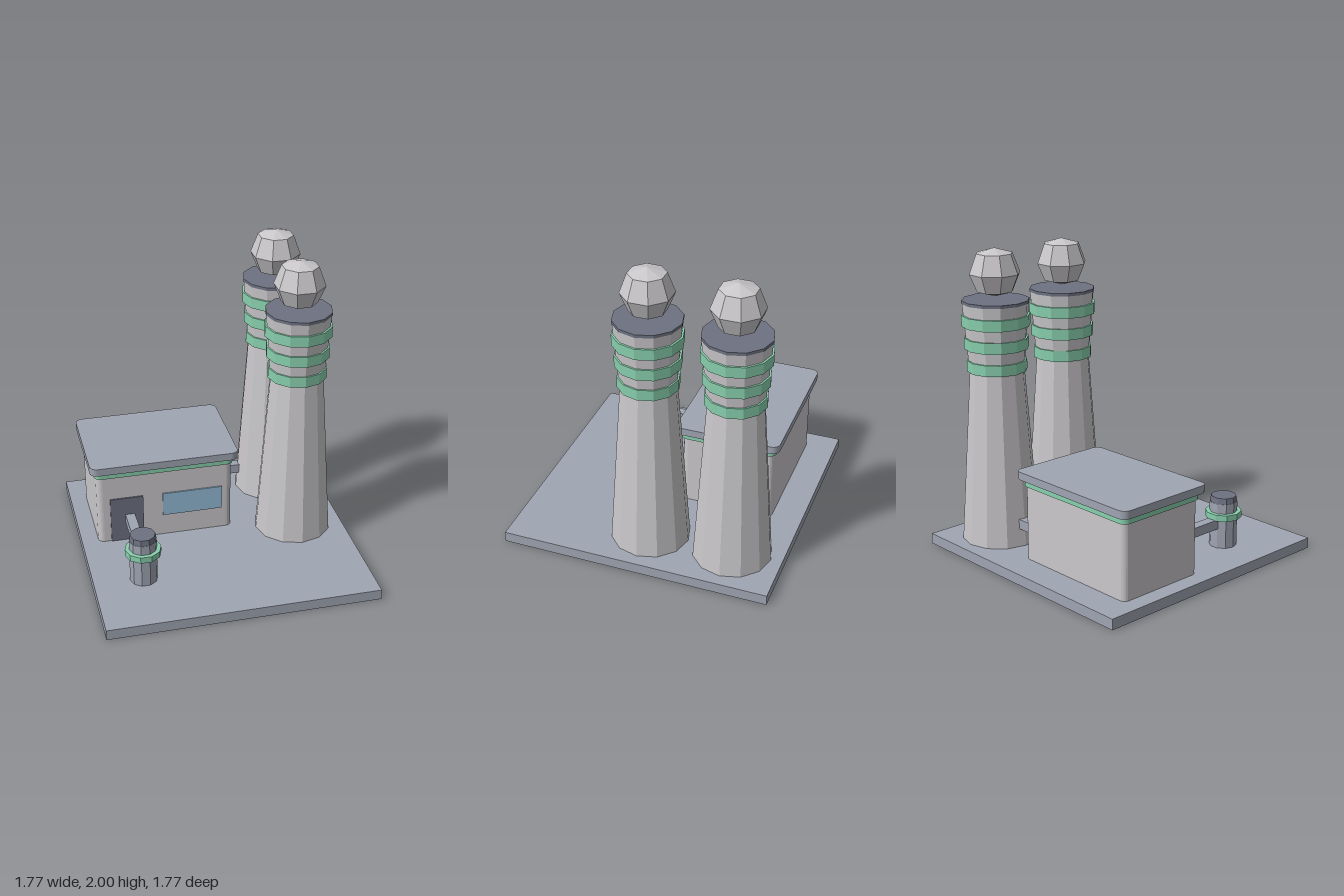
import * as THREE from 'three';

const flat = (name, color) => {
  const m = new THREE.MeshStandardMaterial({ color });
  m.name = name;
  m.flatShading = true;
  return m;
};

export function createModel() {
  const slate = flat('slate grey', 0xa0a5b3);
  const concrete = flat('light concrete', 0xcac8cb);
  const dark = flat('dark slate', 0x6e7282);
  const green = flat('mint green', 0x88cfad);
  const glass = flat('window blue', 0x92bbd6);

  const model = new THREE.Group();
  model.name = 'powerStation';

  const add = (parent, name, geometry, material) => {
    const mesh = new THREE.Mesh(geometry, material);
    mesh.name = name;
    parent.add(mesh);
    return mesh;
  };
  // Box given by its two corners
  const box = (parent, name, material, [x0, y0, z0], [x1, y1, z1]) => {
    const g = new THREE.BoxGeometry(x1 - x0, y1 - y0, z1 - z0);
    g.translate((x0 + x1) / 2, (y0 + y1) / 2, (z0 + z1) / 2);
    return add(parent, name, g, material);
  };
  // Upright faceted drum from y0 to y1
  const drum = (parent, name, material, r0, r1, y0, y1, sides) => {
    const g = new THREE.CylinderGeometry(r1, r0, y1 - y0, sides);
    g.translate(0, (y0 + y1) / 2, 0);
    return add(parent, name, g, material);
  };
  // Slab with rounded vertical corners
  const slab = (parent, name, material, x0, x1, z0, z1, y0, y1, r) => {
    const s = new THREE.Shape();
    const a = -z1, b = -z0;
    s.moveTo(x0 + r, a);
    s.lineTo(x1 - r, a);
    s.absarc(x1 - r, a + r, r, -Math.PI / 2, 0);
    s.lineTo(x1, b - r);
    s.absarc(x1 - r, b - r, r, 0, Math.PI / 2);
    s.lineTo(x0 + r, b);
    s.absarc(x0 + r, b - r, r, Math.PI / 2, Math.PI);
    s.lineTo(x0, a + r);
    s.absarc(x0 + r, a + r, r, Math.PI, Math.PI * 1.5);
    const g = new THREE.ExtrudeGeometry(s, { depth: y1 - y0, bevelEnabled: false, curveSegments: 3 });
    g.rotateX(-Math.PI / 2);
    g.translate(0, y0, 0);
    return add(parent, name, g, material);
  };

  // Ground slab
  box(model, 'base', slate, [-0.887, 0, -0.887], [0.887, 0.07, 0.887]);

  // Two chimneys with bands, cap and a faceted puff of smoke
  const profile = (pts) => pts.map(([x, y]) => new THREE.Vector2(x, y));
  for (const z of [0, -0.555]) {
    const tower = new THREE.Group();
    tower.name = z === 0 ? 'frontChimney' : 'backChimney';
    tower.position.set(0.553, 0, z);
    model.add(tower);

    const shaft = profile([[0.257, 0.07], [0.178, 1.2], [0.214, 1.652]]);
    add(tower, 'shaft', new THREE.LatheGeometry(shaft, 12), concrete);
    drum(tower, 'chimneyCap', dark, 0.217, 0.217, 1.652, 1.672, 12);
    for (const [r, y] of [[0.195, 1.21], [0.208, 1.358], [0.221, 1.505]]) {
      drum(tower, 'band', green, r, r, y, y + 0.072, 12);
    }
    const puff = profile([[0, 1.69], [0.118, 1.724], [0.166, 1.838], [0.118, 1.966], [0, 2]]);
    add(tower, 'smokePuff', new THREE.LatheGeometry(puff, 8, Math.PI / 8), concrete);
  }

  // Building with band, overhanging roof, door and window
  const house = new THREE.Group();
  house.name = 'building';
  model.add(house);
  slab(house, 'walls', concrete, -0.775, 0.14, -0.686, -0.066, 0.07, 0.565, 0.04);
  slab(house, 'wallBand', green, -0.786, 0.151, -0.697, -0.055, 0.562, 0.608, 0.045);
  slab(house, 'roof', slate, -0.815, 0.18, -0.726, -0.026, 0.608, 0.66, 0.05);
  box(house, 'door', dark, [-0.69, 0.07, -0.066], [-0.468, 0.395, -0.057]);
  box(house, 'window', glass, [-0.335, 0.225, -0.066], [0.07, 0.393, -0.057]);

  // Small tank
  const tank = new THREE.Group();
  tank.name = 'tank';
  tank.position.set(-0.56, 0, 0.405);
  tank.rotation.y = Math.PI / 2;
  model.add(tank);
  drum(tank, 'tankBody', slate, 0.09, 0.09, 0.07, 0.372, 10);
  drum(tank, 'tankRing', green, 0.118, 0.118, 0.265, 0.307, 10);
  drum(tank, 'tankCap', dark, 0.088, 0.082, 0.372, 0.41, 10);

  // Connecting ducts
  box(model, 'tankDuct', slate, [-0.592, 0.203, -0.1], [-0.528, 0.268, 0.36]);
  box(model, 'chimneyDuct', slate, [0.1, 0.19, -0.593], [0.4, 0.255, -0.529]);

  return model;
}
